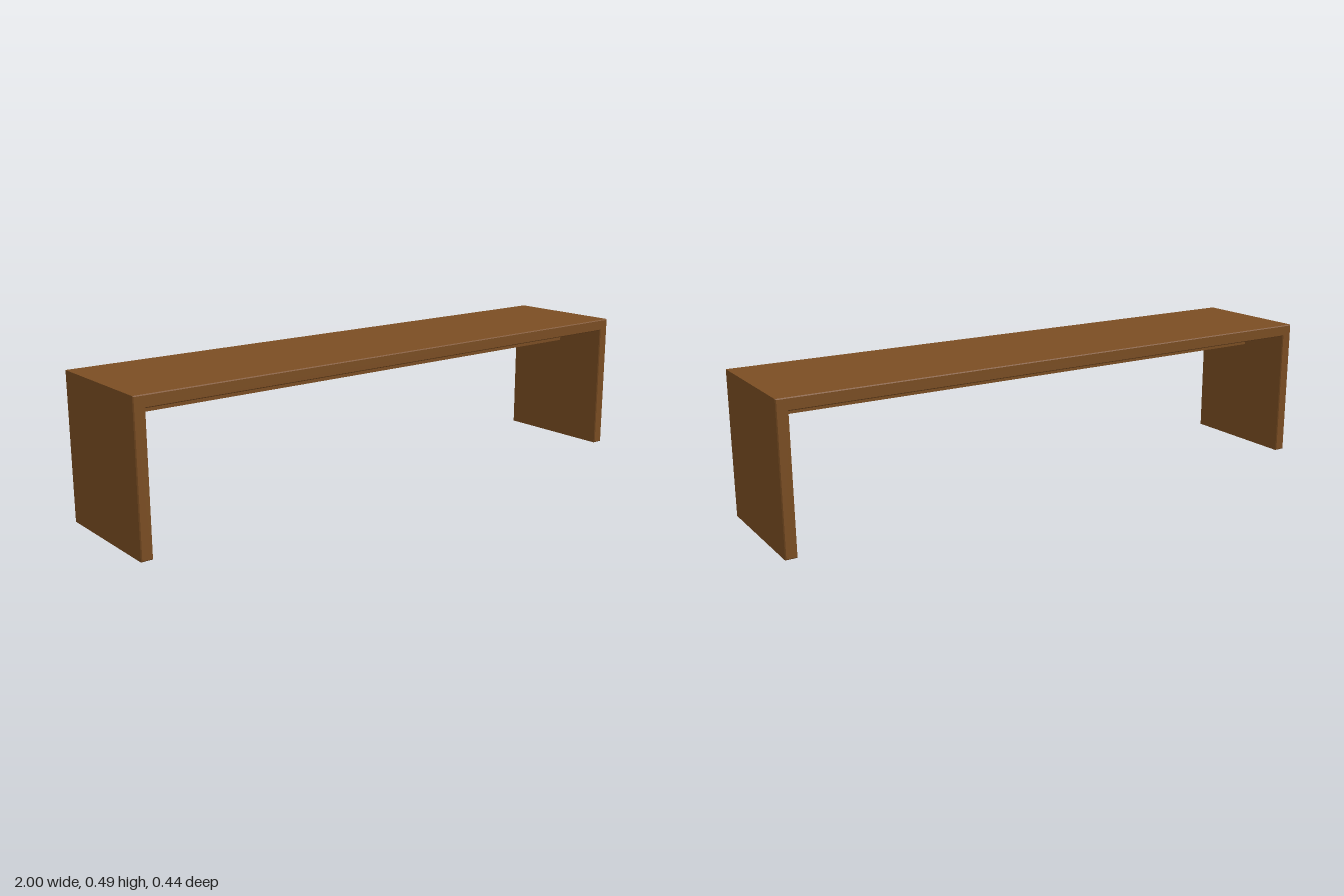
import * as THREE from 'three';

export function createModel() {
  const group = new THREE.Group();
  const wood = new THREE.MeshStandardMaterial({ color: 0x7b4e23 });
  wood.name = 'brown wood';

  // Seat and both side panels: one U-shaped frame with a fine bevel
  const b = 0.003, W = 1 - b, H = 0.485 - b, inX = 0.962 + b, inY = 0.445 + b;
  const shape = new THREE.Shape();
  [[-W, b], [-inX, b], [-inX, inY], [inX, inY], [inX, b], [W, b], [W, H], [-W, H]]
    .forEach(([x, y], i) => (i ? shape.lineTo(x, y) : shape.moveTo(x, y)));
  shape.closePath();
  const depth = 0.436 - 2 * b;
  const frameGeometry = new THREE.ExtrudeGeometry(shape, {
    depth, bevelEnabled: true, bevelSize: b, bevelThickness: b, bevelSegments: 1,
  });
  frameGeometry.translate(0, 0, -depth / 2);
  const frame = new THREE.Mesh(frameGeometry, wood);
  frame.name = 'benchFrame';
  group.add(frame);

  // Support rail along the middle of the underside
  const rail = new THREE.Mesh(new THREE.BoxGeometry(1.924, 0.065, 0.042), wood);
  rail.name = 'supportRail';
  rail.position.set(0, 0.4125, 0);
  group.add(rail);

  return group;
}
